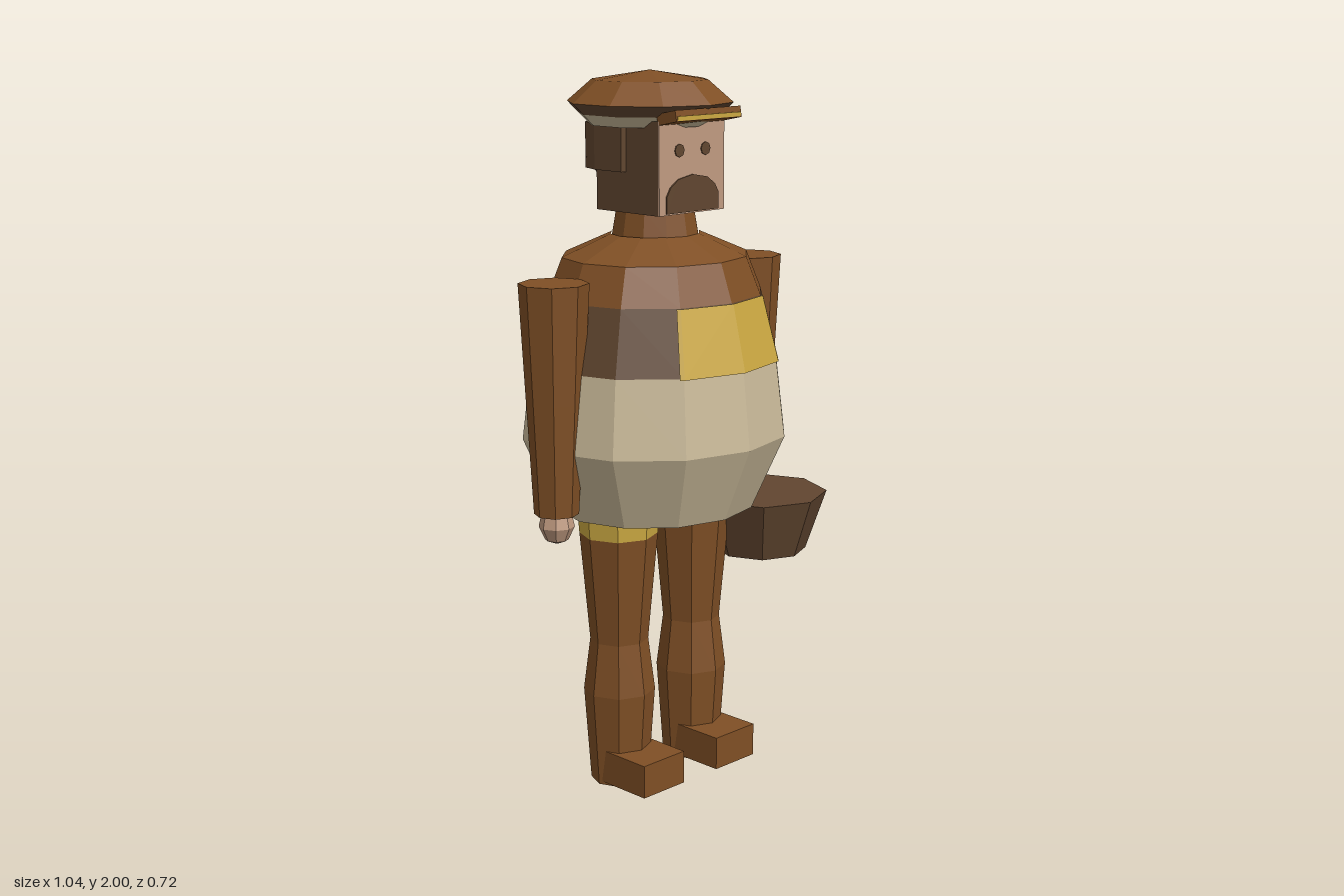
import * as THREE from 'three';

const mat = (name, color, opts = {}) => {
  const m = new THREE.MeshStandardMaterial({ color, ...opts });
  m.name = name;
  return m;
};

export function createModel() {
  const root = new THREE.Group();
  root.name = 'figure';
  const brown = mat('brown cloth', 0x7f4f25);
  const dark = mat('dark brown', 0x614630);
  const cream = mat('cream cloth', 0xcbbb9a);
  const yellow = mat('yellow trim', 0xcca942);
  const skin = mat('skin', 0xc09a80);
  const CX = -0.05; // centre line of the body

  // Faceted mesh with a name and a place
  const add = (name, geo, material, x = 0, y = 0, z = 0) => {
    const g = geo.index ? geo.toNonIndexed() : geo;
    g.computeVertexNormals();
    const m = new THREE.Mesh(g, material);
    m.name = name;
    m.position.set(x, y, z);
    root.add(m);
    return m;
  };
  // Turned shape from [radius, height] pairs, listed bottom to top
  const lathe = (pts, sides, sx = 1) =>
    new THREE.LatheGeometry(pts.map(p => new THREE.Vector2(p[0], p[1])), sides).scale(sx, 1, 1);
  const box = (w, h, d) => new THREE.BoxGeometry(w, h, d);
  const extrude = (pts, depth) => new THREE.ExtrudeGeometry(
    new THREE.Shape(pts.map(p => new THREE.Vector2(p[0], p[1]))), { depth, bevelEnabled: false });

  // Coat: three bands of one barrel shape
  const WIDE = 1.085;
  add('coatSkirt', lathe([[0, 0.79], [0.27, 0.79], [0.36, 1], [0.335, 1.215]], 12, WIDE), cream, CX);
  add('coatChest', lathe([[0.335, 1.215], [0.29, 1.395]], 12, WIDE), dark, CX);
  add('coatShoulders', lathe([[0.29, 1.395], [0.25, 1.5], [0.12, 1.56]], 12, WIDE), brown, CX);
  add('collar', lathe([[0.123, 1.555], [0.11, 1.63], [0, 1.63]], 12), brown, CX);

  // Chest panel: follows the facets of the barrel, just proud of it
  const rim = (r, y) => [[-1.05, 0], [-1, 0], [0, 0], [1, 0], [1.13, 0]].map(([k]) => {
    const a = Math.min(Math.abs(k), 1) * Math.PI / 6;
    const over = Math.max(Math.abs(k) - 1, 0);
    const x = Math.sin(a) + over * 0.5, z = Math.cos(a) - over * 0.5;
    return [Math.sign(k) * x * r * WIDE, y, z * r];
  });
  const low = rim(0.341, 1.212), high = rim(0.296, 1.394), panel = [];
  for (let i = 0; i < 4; i++) {
    panel.push(...low[i], ...low[i + 1], ...high[i + 1], ...low[i], ...high[i + 1], ...high[i]);
  }
  const panelGeo = new THREE.BufferGeometry();
  panelGeo.setAttribute('position', new THREE.Float32BufferAttribute(panel, 3));
  add('chestPanel', panelGeo, yellow, CX);

  // Head with a face plate, eyes and beard
  add('head', box(0.25, 0.25, 0.237), dark, CX, 1.75, 0.0185);
  add('face', box(0.25, 0.25, 0.004), skin, CX, 1.75, 0.139);
  for (const s of [-1, 1]) {
    const eye = new THREE.CylinderGeometry(0.018, 0.018, 0.004, 8).rotateX(Math.PI / 2);
    add(s > 0 ? 'leftEye' : 'rightEye', eye, dark, CX + s * 0.05, 1.795, 0.142);
  }
  add('beard', extrude([[-0.1, 0], [0.1, 0], [0.1, 0.045], [0.085, 0.07], [0.055, 0.09], [0, 0.1],
    [-0.055, 0.09], [-0.085, 0.07], [-0.1, 0.045]], 0.005), dark, CX, 1.629, 0.14);

  // Hair wrapped round the back of the head
  const hair = extrude([[-0.143, -0.015], [-0.143, 0.09], [-0.12, 0.15], [-0.07, 0.19],
    [0.07, 0.19], [0.12, 0.15], [0.143, 0.09], [0.143, -0.015]].reverse(), 0.125).rotateX(-Math.PI / 2);
  add('hair', hair, dark, CX, 1.735, 0);
  add('hairNape', extrude([[-0.125, 0.08], [-0.05, 0], [0.05, 0], [0.125, 0.08]], 0.05),
    dark, CX, 1.685, -0.145);

  // Cap with pale lining, peak and yellow stripe
  const HZ = -0.02;
  add('capLining', lathe([[0, 1.855], [0.17, 1.855], [0.2, 1.885]], 10), cream, CX, 0, HZ);
  add('capUnderside', lathe([[0.2, 1.885], [0.23, 1.915]], 10), dark, CX, 0, HZ);
  add('capCrown', lathe([[0.23, 1.915], [0.16, 1.975], [0, 2]], 10), brown, CX, 0, HZ);
  const peak = add('capPeak', box(0.25, 0.03, 0.07), brown, CX, 1.886, 0.168);
  peak.rotation.x = -0.2;
  add('capStripe', box(0.24, 0.012, 0.006), yellow, CX, 1.886, 0.203);

  // Arms and hands
  for (const [side, x] of [['right', -0.428], ['left', 0.33]]) {
    add(side + 'Arm', lathe([[0, 0.83], [0.061, 0.83], [0.078, 1.14], [0.095, 1.46], [0, 1.46]], 8), brown, x);
    add(side + 'Hand', lathe([[0, 0.745], [0.032, 0.758], [0.049, 0.795], [0.04, 0.835], [0, 0.84]], 8), skin, x);
  }

  // Basket held in the left hand
  add('basket', lathe([[0, 0.59], [0.135, 0.59], [0.195, 0.765], [0, 0.765]], 8), dark, 0.323, 0, 0.065);

  // Legs, yellow thigh bands and shoes
  for (const s of [-1, 1]) {
    const side = s > 0 ? 'left' : 'right', x = CX + s * 0.146;
    add(side + 'Leg', lathe([[0, 0], [0.082, 0], [0.101, 0.27], [0.082, 0.42], [0.11, 0.73]], 8), brown, x);
    add(side + 'ThighBand', lathe([[0.11, 0.73], [0.115, 0.8]], 8), yellow, x);
    add(side + 'Shoe', box(0.158, 0.095, 0.18), brown, x, 0.057, 0.09);
  }
  return root;
}
